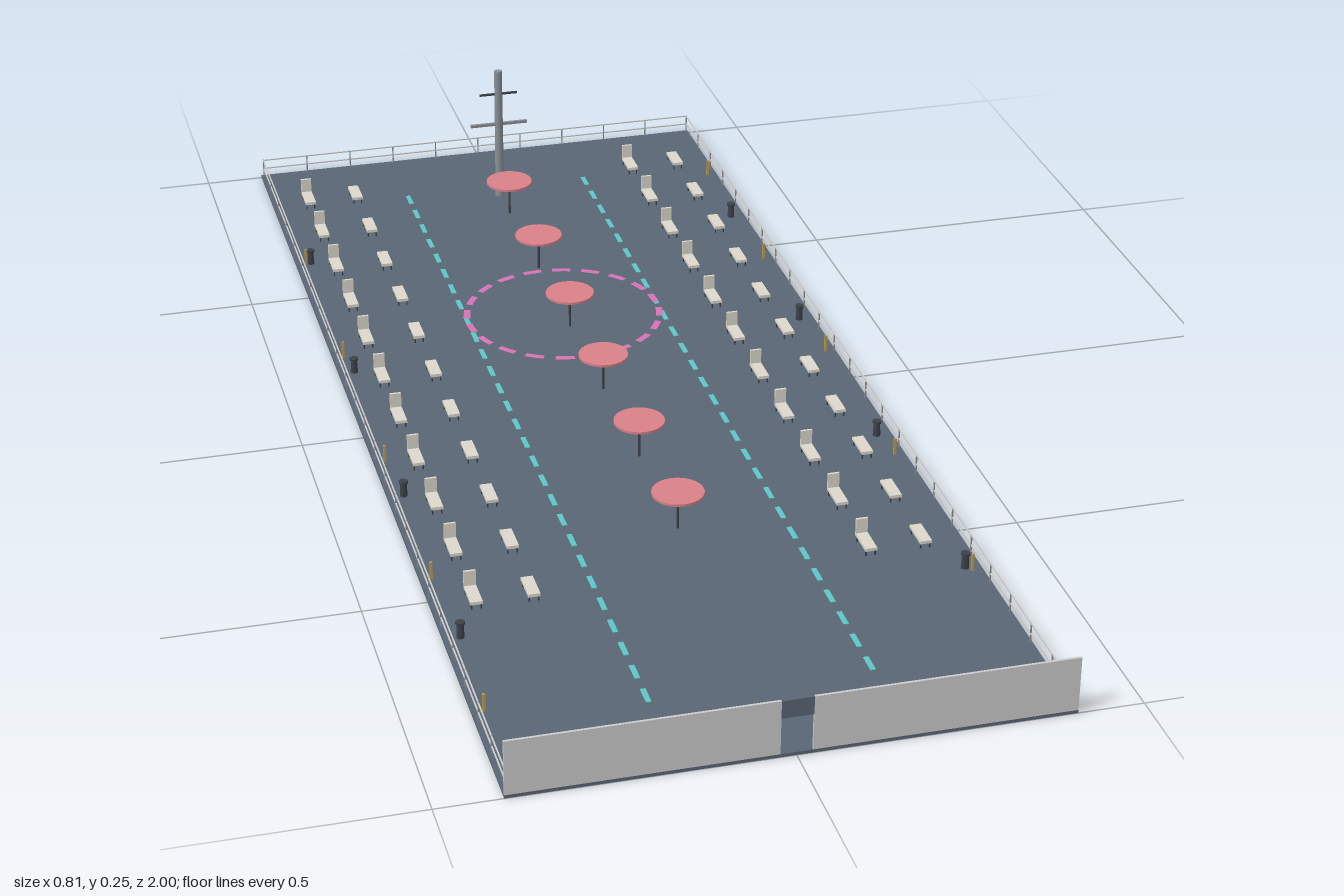
import * as THREE from 'three';

const W = 0.403; // half width of the deck
const TOP = 0.005; // walking surface

const mat = (color) => new THREE.MeshStandardMaterial({ color });
const grey = mat(0xcccccc), slate = mat(0x5a6675), steel = mat(0x8a9097), dark = mat(0x3c4148);
const teal = mat(0x5cc8c4), pink = mat(0xd873b4), coral = mat(0xd98088), cream = mat(0xdcd8cc);
const yellow = mat(0xb89a50);

function add(parent, name, geometry, material, x, y, z) {
  const mesh = new THREE.Mesh(geometry, material);
  mesh.name = name;
  mesh.position.set(x, y, z);
  parent.add(mesh);
  return mesh;
}

// box given by its size, centre x/z and bottom y
function box(parent, name, material, w, h, d, x, y, z) {
  return add(parent, name, new THREE.BoxGeometry(w, h, d), material, x, y + h / 2, z);
}

function group(parent, name, x = 0, y = 0, z = 0) {
  const g = new THREE.Group();
  g.name = name;
  g.position.set(x, y, z);
  parent.add(g);
  return g;
}

// front wall with a doorway and a dark lintel
function buildWall(root) {
  const g = group(root, 'frontWall');
  const half = W - 0.023;
  for (const s of [-1, 1]) {
    box(g, 'wallPanel', grey, half, 0.085, 0.004, s * (0.023 + half / 2), TOP, 0.998);
  }
  box(g, 'doorLintel', slate, 0.046, 0.028, 0.008, 0, 0.062, 0.996);
  box(g, 'doorLightStrip', teal, 0.044, 0.006, 0.002, 0, 0.063, 0.991);
}

// safety rail along both sides and the back
function buildRails(root) {
  const g = group(root, 'railing');
  const edge = W - 0.004, back = -0.994, length = 1.984;
  for (const y of [0.02, 0.036]) {
    for (const s of [-1, 1]) box(g, 'sideRail', grey, 0.002, 0.002, length, s * edge, y, 0);
    box(g, 'backRail', grey, edge * 2, 0.002, 0.002, 0, y, back);
  }
  for (let i = 0; i <= 24; i++) {
    const z = back + (i / 24) * length;
    for (const s of [-1, 1]) box(g, 'railPost', steel, 0.002, 0.033, 0.002, s * edge, TOP, z);
  }
  for (let i = 1; i < 10; i++) {
    box(g, 'railPost', steel, 0.002, 0.033, 0.002, -edge + (i / 10) * edge * 2, TOP, back);
  }
}

// dashed guide lines and dashed circle
function buildMarkings(root) {
  const g = group(root, 'deckMarkings');
  for (let i = 0; i < 28; i++) {
    const z = -0.828 + i * 0.061;
    for (const s of [-1, 1]) box(g, 'guideDash', teal, 0.008, 0.001, 0.034, s * 0.162, TOP, z);
  }
  const count = 20, step = (Math.PI * 2) / count;
  for (let i = 0; i < count; i++) {
    const arc = new THREE.RingGeometry(0.156, 0.167, 4, 1, i * step, step * 0.62);
    arc.rotateX(-Math.PI / 2);
    add(g, 'circleDash', arc, pink, 0, TOP + 0.0012, -0.328);
  }
}

// flat sunbed, optionally with an upright backrest at its rear end
function buildLounger(root, x, z, withBack) {
  const g = group(root, 'lounger', x, TOP, z);
  box(g, 'loungerSeat', cream, 0.018, 0.005, 0.05, 0, 0.009, 0);
  for (const sx of [-1, 1]) {
    for (const sz of [-1, 1]) {
      box(g, 'loungerLeg', dark, 0.002, 0.009, 0.002, sx * 0.007, 0, sz * 0.021);
    }
  }
  if (withBack) box(g, 'loungerBack', cream, 0.018, 0.024, 0.004, 0, 0.014, -0.023);
}

function buildParasol(root, z) {
  const g = group(root, 'parasol', 0, TOP, z);
  add(g, 'parasolPole', new THREE.CylinderGeometry(0.002, 0.002, 0.061, 8), dark, 0, 0.0305, 0);
  add(g, 'parasolCanopy', new THREE.CylinderGeometry(0.04, 0.04, 0.004, 24), coral, 0, 0.062, 0);
}

// signal mast with two crossbars
function buildMast(root) {
  const g = group(root, 'mast', 0, TOP, -0.81);
  add(g, 'mastPole', new THREE.CylinderGeometry(0.007, 0.008, 0.242, 12), steel, 0, 0.121, 0);
  box(g, 'lowerCrossbar', steel, 0.102, 0.005, 0.005, 0, 0.1375, 0);
  box(g, 'upperCrossbar', dark, 0.068, 0.003, 0.004, 0, 0.1965, 0);
}

export function createModel() {
  const root = new THREE.Group();
  root.name = 'sunDeck';
  box(root, 'deck', slate, W * 2, TOP, 2, 0, 0, 0);
  buildWall(root);
  buildRails(root);
  buildMarkings(root);
  buildMast(root);
  for (let i = 0; i < 6; i++) buildParasol(root, -0.731 + i * 0.2255);

  for (let i = 0; i < 11; i++) {
    for (const x of [-0.34, -0.255, 0.255, 0.34]) {
      buildLounger(root, x, -0.859 + i * 0.138, x === -0.34 || x === 0.255);
    }
  }

  // bollards and small lamp posts along the sides
  for (const s of [-1, 1]) {
    for (let i = 0; i < 4; i++) {
      const g = group(root, 'bollard', s * 0.378, TOP, -0.62 + i * 0.41);
      add(g, 'bollardPost', new THREE.CylinderGeometry(0.005, 0.006, 0.022, 10), dark, 0, 0.011, 0);
      add(g, 'bollardCap', new THREE.CylinderGeometry(0.007, 0.007, 0.004, 10), dark, 0, 0.024, 0);
    }
    for (let i = 0; i < 5; i++) {
      box(root, 'lampPost', yellow, 0.004, 0.028, 0.004, s * 0.386, TOP, s * (-0.8 + i * 0.355));
    }
  }
  return root;
}
